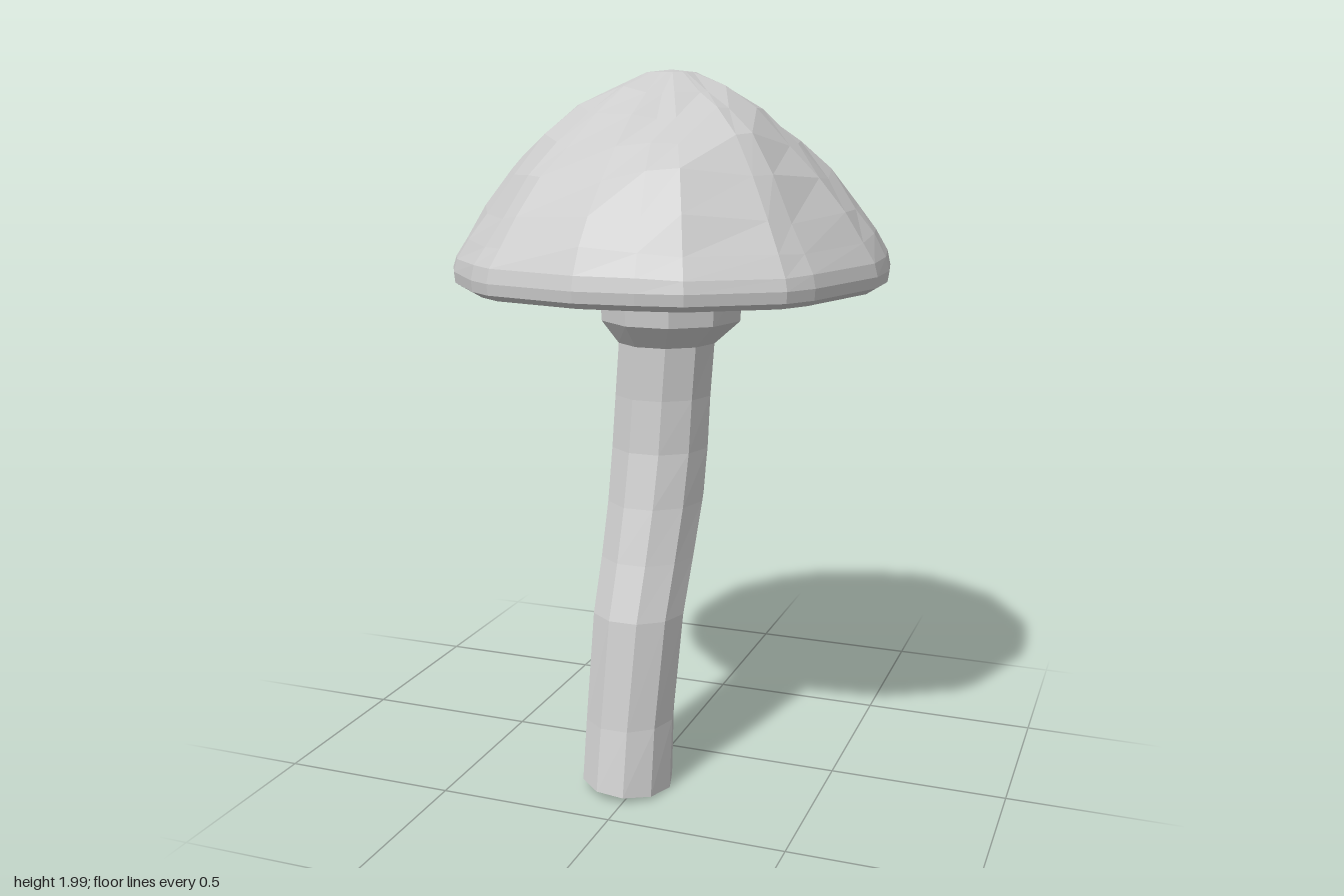
import * as THREE from 'three';

// Skin a stack of closed rings (each an array of Vector3) with flat facets.
function loft(name, rings) {
  const pos = [];
  const tri = new THREE.Triangle();
  const add = (a, b, c) => {
    if (tri.set(a, b, c).getArea() > 1e-7) for (const p of [a, b, c]) pos.push(p.x, p.y, p.z);
  };
  for (let j = 0; j < rings.length - 1; j++) {
    const n = rings[j].length;
    for (let i = 0; i < n; i++) {
      const k = (i + 1) % n;
      add(rings[j][i], rings[j + 1][i], rings[j][k]);
      add(rings[j][k], rings[j + 1][i], rings[j + 1][k]);
    }
  }
  const geo = new THREE.BufferGeometry();
  geo.setAttribute('position', new THREE.Float32BufferAttribute(pos, 3));
  geo.computeVertexNormals();
  const mesh = new THREE.Mesh(geo, new THREE.MeshStandardMaterial({
    color: 0xcccccc, flatShading: true, side: THREE.DoubleSide,
  }));
  mesh.name = name;
  return mesh;
}

// Irregular rim outline as [x, z]
const RIM = [
  [-0.08, -0.61], [0.1, -0.605], [0.27, -0.54], [0.44, -0.43], [0.575, -0.23], [0.605, -0.07],
  [0.605, 0.07], [0.51, 0.35], [0.46, 0.43], [0.24, 0.57], [0.12, 0.59], [-0.04, 0.605],
  [-0.3, 0.55], [-0.37, 0.5], [-0.5, 0.35], [-0.56, 0.24], [-0.605, 0.06], [-0.605, -0.01],
  [-0.57, -0.2], [-0.55, -0.27], [-0.44, -0.42], [-0.34, -0.51], [-0.2, -0.58],
];

// Cap profile as [scale of rim, y, amount of lumpiness], underside first
const CAP = [
  [0, 1.42, 0], [0.95, 1.418, 0], [0.995, 1.435, 0], [1, 1.465, 0], [0.985, 1.5, 0.004],
  [0.93, 1.555, 0.01], [0.845, 1.635, 0.014], [0.72, 1.735, 0.016], [0.58, 1.815, 0.016],
  [0.42, 1.89, 0.012], [0.27, 1.945, 0.008], [0.11, 1.993, 0], [0, 2, 0],
];

// Stem sections as [y, centre x, centre z, half width, half depth], ending in the collar
const STEM = [
  [0.02, -0.035, 0.265, 0.127, 0.147], [0.2, -0.04, 0.23, 0.127, 0.135],
  [0.5, -0.033, 0.175, 0.133, 0.135], [0.65, -0.03, 0.11, 0.136, 0.142],
  [0.8, -0.027, 0.052, 0.14, 0.152], [0.95, -0.025, 0.022, 0.143, 0.143],
  [1.1, -0.02, 0.012, 0.142, 0.138], [1.25, -0.01, 0.008, 0.142, 0.14],
  [1.315, 0, -0.005, 0.203, 0.21], [1.42, 0, -0.005, 0.21, 0.215],
];

export function createModel() {
  const group = new THREE.Group();
  group.name = 'mushroom';

  // Domed cap with gentle lumps and a flat underside
  group.add(loft('cap', CAP.map(([s, y, w], j) => RIM.map(([x, z]) => {
    const a = Math.atan2(x, -z);
    const lump = w * (Math.sin(3 * a + j * 0.9) + 0.6 * Math.sin(7 * a - j * 1.7));
    return new THREE.Vector3(x * s, y + lump, z * s);
  }))));

  // Bent stem with an open, slightly slanted foot, flaring into the collar
  const sides = 10;
  group.add(loft('stem', STEM.map(([y, cx, cz, rx, rz], j) =>
    Array.from({ length: sides }, (_, i) => {
      const a = ((i + 0.5) / sides) * Math.PI * 2;
      const slant = j === 0 ? -0.012 * Math.sin(a) - 0.008 * Math.cos(a) : 0;
      return new THREE.Vector3(cx + rx * Math.sin(a), y + slant, cz - rz * Math.cos(a));
    }))));

  // Stand exactly on the ground
  const low = new THREE.Box3().setFromObject(group).min.y;
  group.children.forEach((m) => m.geometry.translate(0, -low, 0));
  return group;
}
